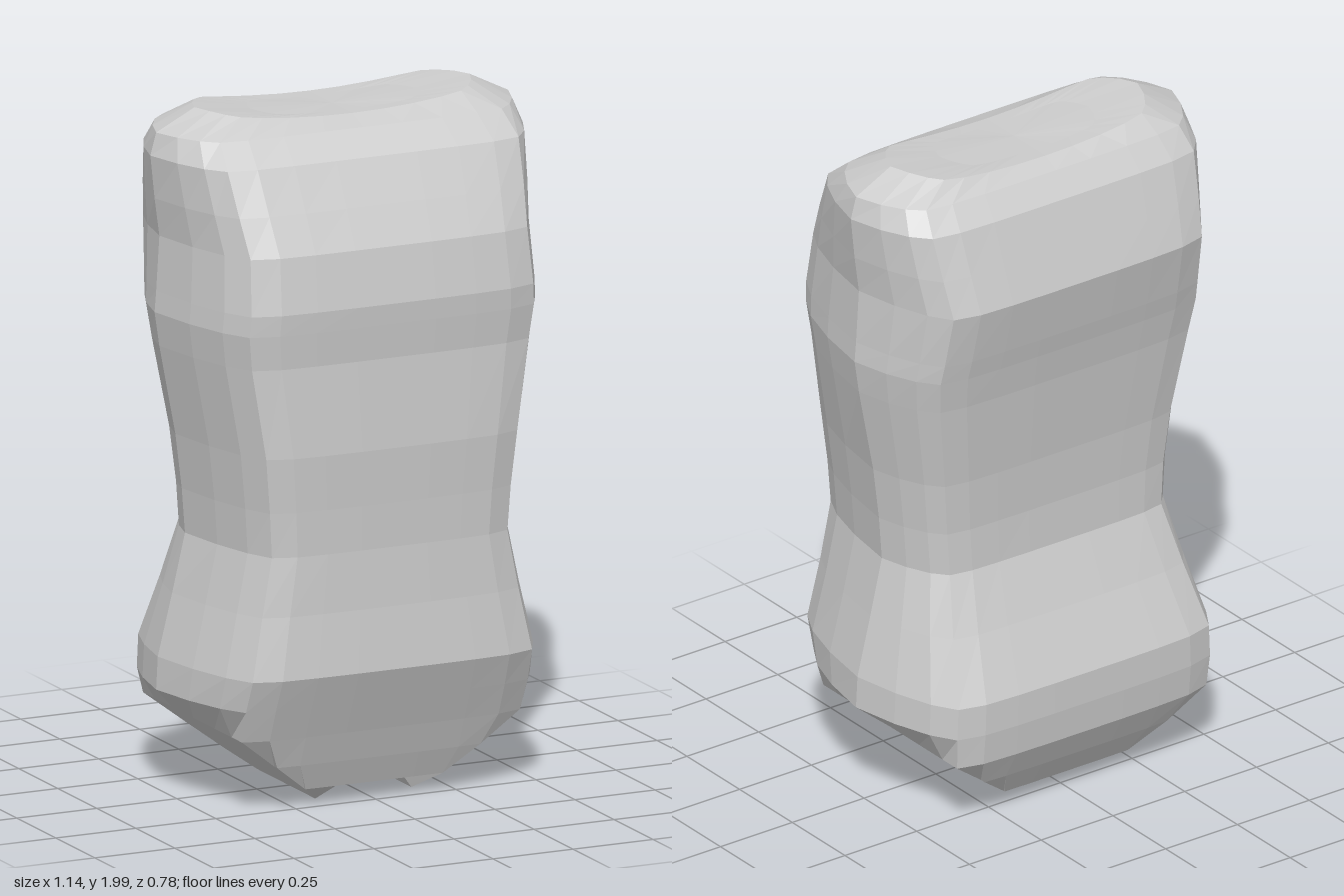
import * as THREE from 'three';

// Quarter outline of a cross-section: [share of half width, share of depth]
const QUARTER = [[0, 1], [0.22, 1], [0.45, 0.995], [0.65, 0.98], [0.8, 0.92], [0.88, 0.72], [0.95, 0.4], [1, 0]];
const MID_Z = -0.03;

// Cross-sections from hips to shoulders: [height, half width, front z, back z]
const SECTIONS = [
  [0.01, 0.55, 0.17, -0.2], [0.06, 0.55, 0.24, -0.28], [0.14, 0.55, 0.275, -0.33],
  [0.23, 0.55, 0.31, -0.38], [0.325, 0.55, 0.35, -0.39], [0.42, 0.545, 0.39, -0.39],
  [0.6, 0.5, 0.375, -0.31], [0.77, 0.46, 0.37, -0.245], [0.9, 0.47, 0.375, -0.243],
  [1.06, 0.49, 0.385, -0.255], [1.32, 0.54, 0.375, -0.29], [1.42, 0.555, 0.385, -0.31],
  [1.48, 0.55, 0.39, -0.325], [1.64, 0.54, 0.365, -0.36], [1.75, 0.555, 0.315, -0.325],
  [1.875, 0.568, 0.255, -0.285], [1.94, 0.55, 0.17, -0.23], [1.965, 0.43, 0.1, -0.18],
  [1.965, 0.26, 0.06, -0.13],
];

function ring([y, hw, zf, zb]) {
  // The sloping leg openings cut the width below the hips
  const limit = 0.15 + (y - 0.01) * 1.29;
  const point = (u, w, sx, front) => {
    const x = Math.min(u * hw, limit) * sx;
    const z = MID_Z + w * ((front ? zf : zb) - MID_Z);
    let py = y;
    if (y < 0.02 && Math.abs(x) < 0.14) py = 0.06 - 0.08 * Math.abs(x); // crotch arch
    if (y > 1.96) py += 0.035 * Math.min(1, (x / 0.42) ** 2); // shoulders rise at the sides
    return new THREE.Vector3(x, py, z);
  };
  const back = [...QUARTER].reverse();
  return [
    ...QUARTER.map(([u, w]) => point(u, w, 1, true)),
    ...back.slice(1).map(([u, w]) => point(u, w, 1, false)),
    ...QUARTER.slice(1).map(([u, w]) => point(u, w, -1, false)),
    ...back.slice(1, -1).map(([u, w]) => point(u, w, -1, true)),
  ];
}

function torsoGeometry() {
  const rings = SECTIONS.map(ring);
  const n = rings[0].length;
  const pos = [];
  const tri = (...p) => {
    const area = p[1].clone().sub(p[0]).cross(p[2].clone().sub(p[0])).length();
    if (area > 1e-7) p.forEach((v) => pos.push(v.x, v.y, v.z));
  };
  const quad = (a, b, c, d) => { tri(a, b, c); tri(a, c, d); };

  // Walls
  for (let r = 0; r + 1 < rings.length; r++) {
    for (let i = 0; i < n; i++) {
      const j = (i + 1) % n;
      quad(rings[r][i], rings[r][j], rings[r + 1][j], rings[r + 1][i]);
    }
  }
  // Neck cap
  const top = rings[rings.length - 1];
  const centre = new THREE.Vector3(0, 1.965, MID_Z);
  top.forEach((p, i) => tri(p, top[(i + 1) % n], centre));

  // Crotch strip, joining front points to the matching back points
  const base = rings[0];
  const half = n / 2;
  const mirror = (i) => base[(half - i + n) % n];
  for (let i = -QUARTER.length + 1; i < QUARTER.length - 1; i++) {
    const f = (k) => base[(k + n) % n];
    quad(f(i), mirror(i), mirror(i + 1), f(i + 1));
  }
  const geometry = new THREE.BufferGeometry();
  geometry.setAttribute('position', new THREE.Float32BufferAttribute(pos, 3));
  geometry.computeVertexNormals();
  return geometry;
}

export function createModel() {
  const model = new THREE.Group();
  model.name = 'torsoModel';
  const material = new THREE.MeshStandardMaterial({ color: 0xcccccc, flatShading: true, side: THREE.DoubleSide });
  const torso = new THREE.Mesh(torsoGeometry(), material);
  torso.name = 'torso';
  model.add(torso);
  return model;
}
